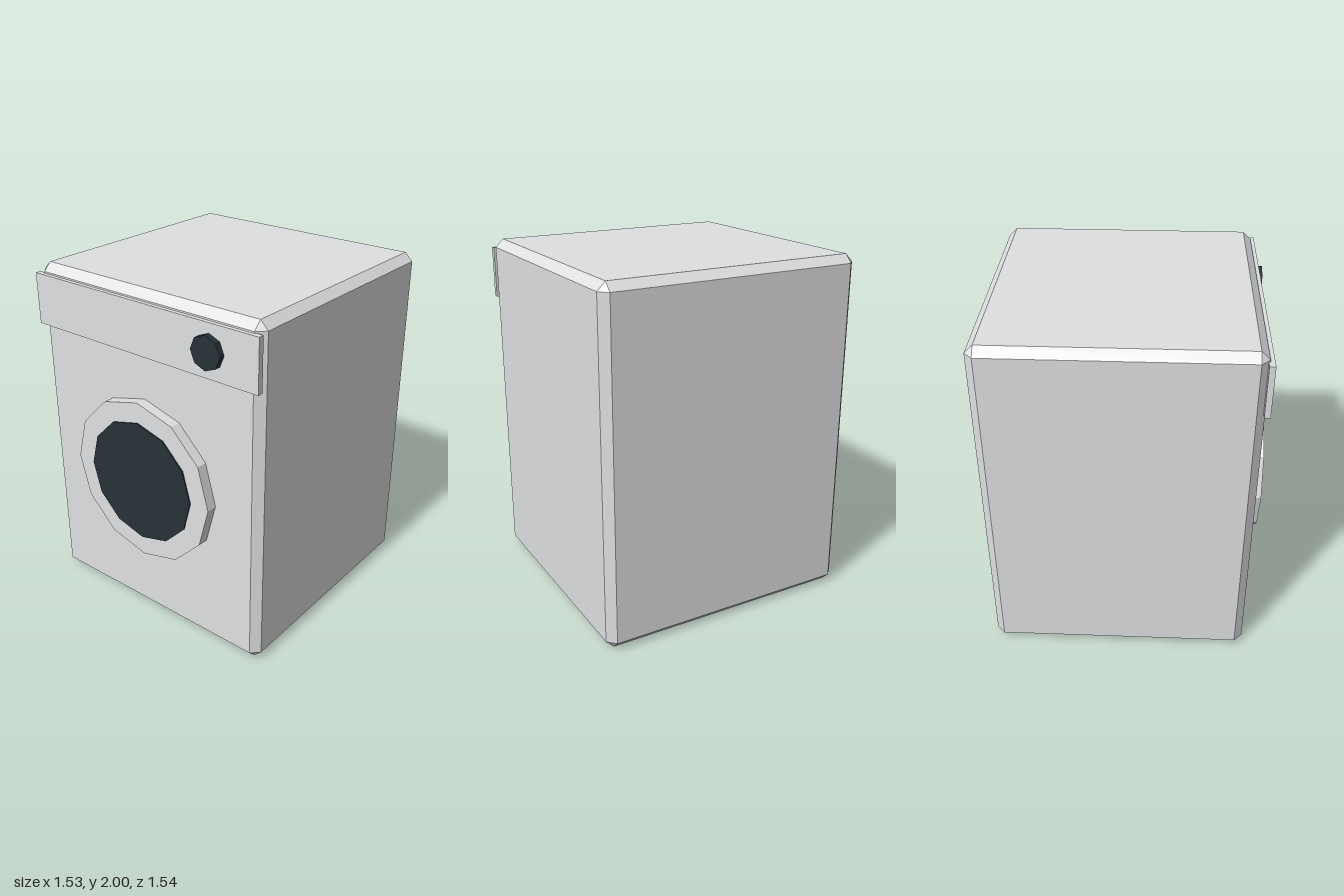
import * as THREE from 'three';
import { ConvexGeometry } from 'three/addons/geometries/ConvexGeometry.js';

// Box with every edge cut at 45 degrees
function chamferedBox(w, h, d, c) {
  const points = [];
  for (const x of [-w / 2, w / 2]) for (const y of [-h / 2, h / 2]) for (const z of [-d / 2, d / 2]) {
    const cx = c * Math.sign(x), cy = c * Math.sign(y), cz = c * Math.sign(z);
    points.push(
      new THREE.Vector3(x, y - cy, z - cz),
      new THREE.Vector3(x - cx, y, z - cz),
      new THREE.Vector3(x - cx, y - cy, z));
  }
  return new ConvexGeometry(points);
}

export function createModel() {
  const group = new THREE.Group();
  const enamel = new THREE.MeshStandardMaterial({ color: 0xdfe0e2, flatShading: true });
  enamel.name = 'white enamel';
  const dark = new THREE.MeshStandardMaterial({ color: 0x263238, flatShading: true });
  dark.name = 'dark glass';

  function add(name, geometry, material, x, y, z) {
    const mesh = new THREE.Mesh(geometry, material);
    mesh.name = name;
    mesh.position.set(x, y, z);
    group.add(mesh);
  }

  // Faceted disc facing forward, with a corner at the top, from z0 to z1
  function addDisc(name, material, radius, sides, x, y, z0, z1) {
    const geometry = new THREE.CylinderGeometry(radius, radius, z1 - z0, sides).rotateX(Math.PI / 2);
    add(name, geometry, material, x, y, (z0 + z1) / 2);
  }

  // Cabinet and control panel
  add('cabinet', chamferedBox(1.53, 2, 1.468, 0.046), enamel, 0, 1, -0.035);
  add('controlPanel', new THREE.BoxGeometry(1.53, 0.294, 0.032), enamel, 0, 1.798, 0.706);

  // Door, its window and the dial
  addDisc('doorRing', enamel, 0.482, 12, 0, 0.914, 0.68, 0.761);
  addDisc('doorWindow', dark, 0.363, 12, 0, 0.914, 0.76, 0.769);
  addDisc('dial', dark, 0.093, 8, 0.468, 1.799, 0.715, 0.755);

  return group;
}
